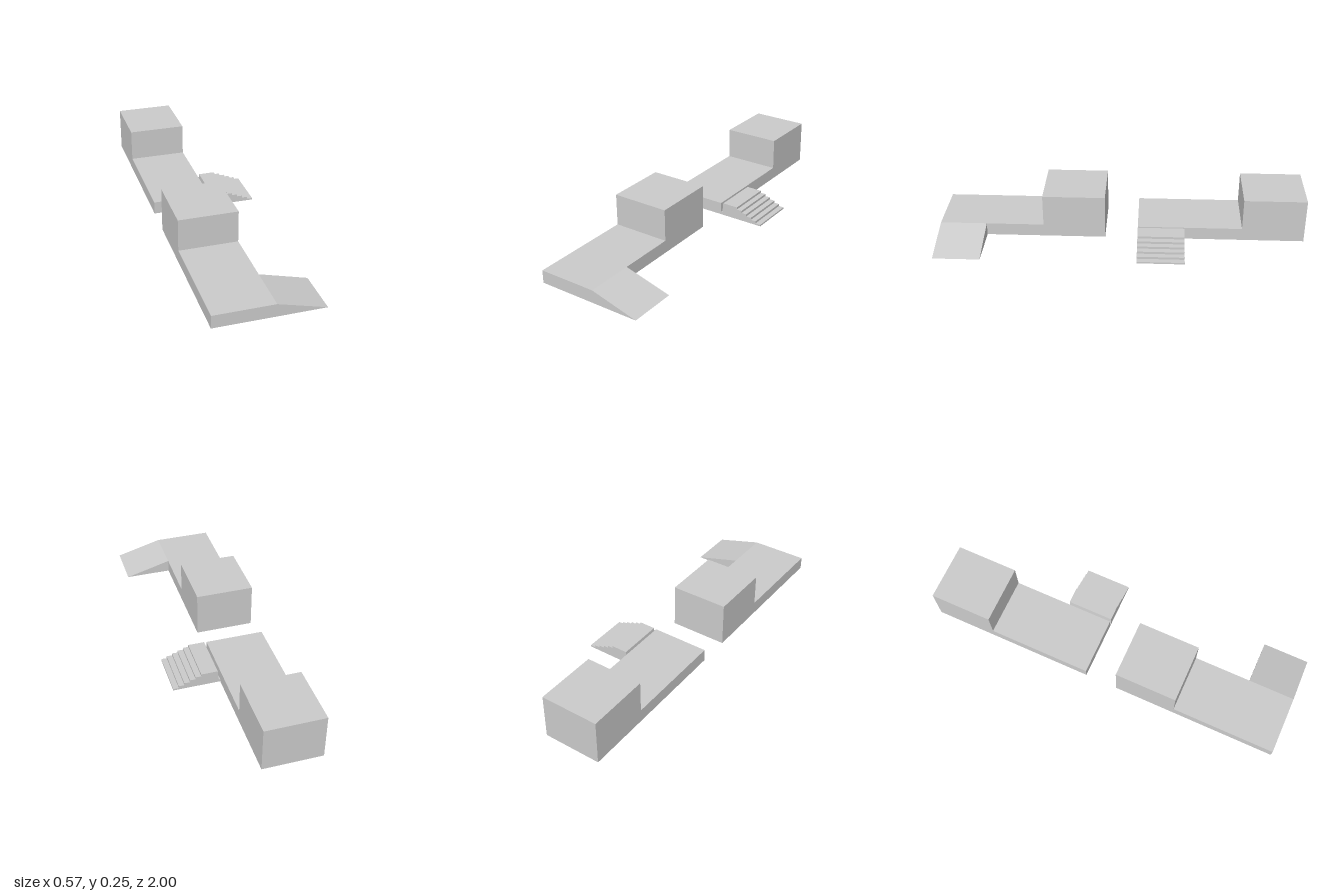
import * as THREE from 'three';

const LEFT = -0.287, EDGE = 0.03, RIGHT = 0.286;
const LOW = 0.07, HIGH = 0.246;

const material = new THREE.MeshStandardMaterial({ color: 0xcccccc, flatShading: true });

function extrude(name, points, depth) {
  const shape = new THREE.Shape(points.map(([x, y]) => new THREE.Vector2(x, y)));
  const mesh = new THREE.Mesh(new THREE.ExtrudeGeometry(shape, { depth, bevelEnabled: false }), material);
  mesh.name = name;
  return mesh;
}

// Low deck with a tall block at its back end; profile in (z, y), swept across x
function platform(name, zBack, zFront) {
  const zStep = zBack + 0.34;
  const mesh = extrude(name, [
    [zBack, 0], [zFront, 0], [zFront, LOW], [zStep, LOW], [zStep, HIGH], [zBack, HIGH],
  ], EDGE - LEFT);
  mesh.rotation.y = -Math.PI / 2;
  mesh.position.x = EDGE;
  return mesh;
}

export function createModel() {
  const group = new THREE.Group();
  group.name = 'accessPlatforms';

  // Two identical stepped platforms, one behind the other
  group.add(platform('frontPlatform', 0.09, 1), platform('backPlatform', -1, -0.09));

  // Sloping ramp beside the front platform
  const ramp = extrude('ramp', [[EDGE, 0], [RIGHT, 0], [EDGE, LOW]], 0.255);
  ramp.position.z = 0.745;
  group.add(ramp);

  // Staircase beside the back platform, parted from the deck by a narrow notch
  const profile = [[EDGE, 0], [RIGHT, 0]];
  const steps = 6, tread = 0.0305, riser = 0.0126;
  for (let i = 0; i < steps; i++) {
    const x = RIGHT - i * tread, y = 0.009 + i * riser;
    profile.push([x, y], [i < steps - 1 ? x - tread : 0.044, y]);
  }
  profile.push([0.038, 0.015], [EDGE, 0.015]);
  const stairs = extrude('stairs', profile, 0.255);
  stairs.position.z = -0.345;
  group.add(stairs);

  return group;
}
